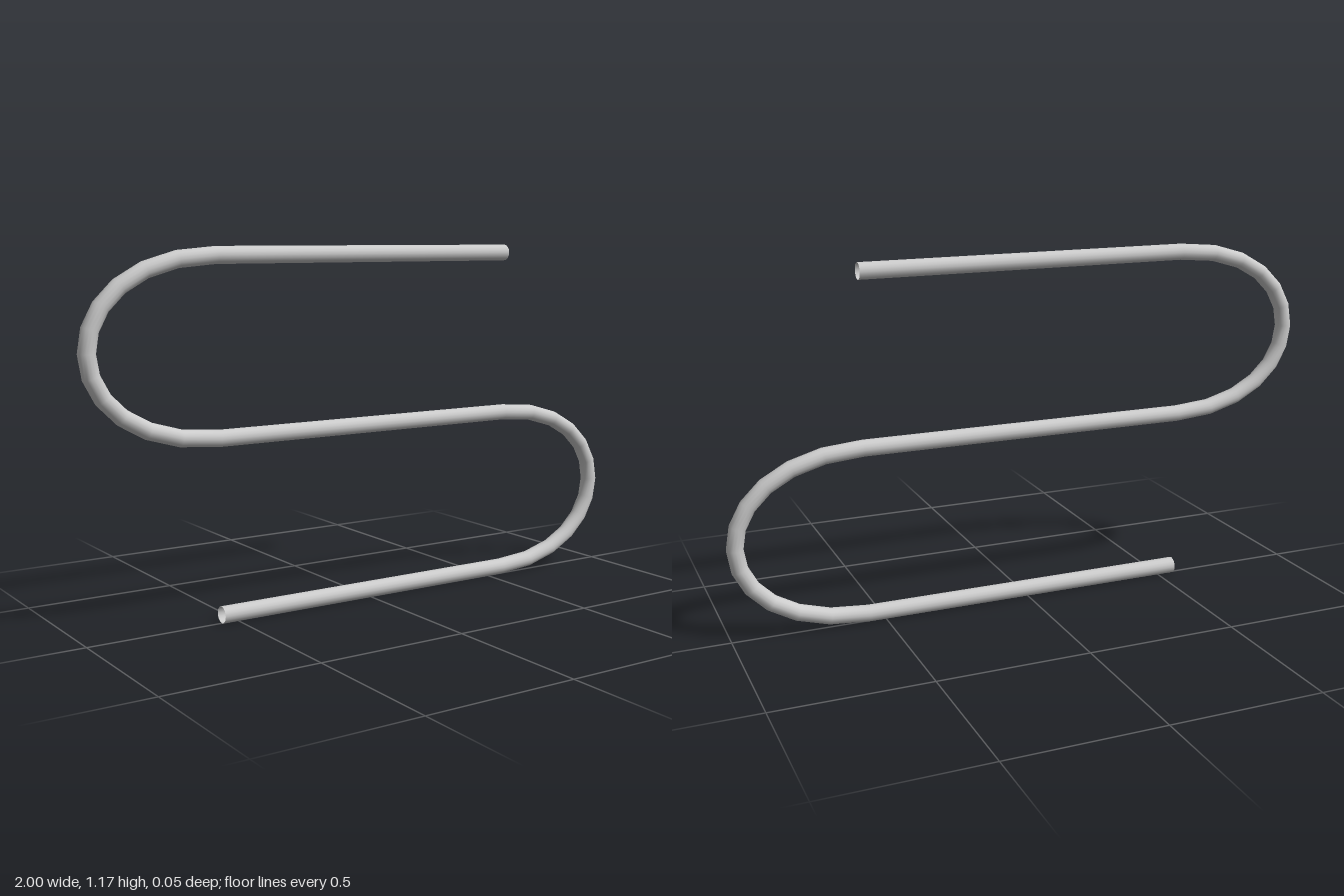
import * as THREE from 'three';

const R = 0.027;          // tube radius
const U = (1 - R) / 1.75; // half length of a straight run, also the spacing of the runs
const BEND_STEPS = 12;

// U-turn from one run to the next, bulging towards side (+1 or -1)
function bend(side, y0, y1) {
  const p = (x, y) => new THREE.Vector3(side * x, y, 0);
  return new THREE.CubicBezierCurve3(p(U, y0), p(2 * U, y0), p(2 * U, y1), p(U, y1));
}

// Curve that steps exactly through listed stations, so straight runs stay one segment long
class StationCurve extends THREE.Curve {
  constructor(stations) {
    super();
    this.stations = stations;
  }
  at(t) { return this.stations[Math.round(t * (this.stations.length - 1))]; }
  getPoint(t, target = new THREE.Vector3()) { return target.copy(this.at(t).point); }
  getPointAt(t, target) { return this.getPoint(t, target); }
  getTangent(t, target = new THREE.Vector3()) { return target.copy(this.at(t).tangent); }
  getTangentAt(t, target) { return this.getTangent(t, target); }
}

export function createModel() {
  const group = new THREE.Group();
  group.name = 'serpentinePipe';

  const [bottom, middle, top] = [0, 1, 2].map((i) => R + i * U);
  const forward = new THREE.Vector3(1, 0, 0);

  // Lower run, right-hand bend, middle run, left-hand bend, upper run
  const stations = [{ point: new THREE.Vector3(-U, bottom, 0), tangent: forward }];
  for (const curve of [bend(1, bottom, middle), bend(-1, middle, top)]) {
    for (let i = 0; i <= BEND_STEPS; i++) {
      const t = i / BEND_STEPS;
      stations.push({ point: curve.getPoint(t), tangent: curve.getTangent(t) });
    }
  }
  stations.push({ point: new THREE.Vector3(U, top, 0), tangent: forward });

  // Open-ended tube
  const pipe = new THREE.Mesh(
    new THREE.TubeGeometry(new StationCurve(stations), stations.length - 1, R, 16, false),
    new THREE.MeshStandardMaterial({ color: 0xcccccc, side: THREE.DoubleSide })
  );
  pipe.name = 'pipe';
  group.add(pipe);
  return group;
}
